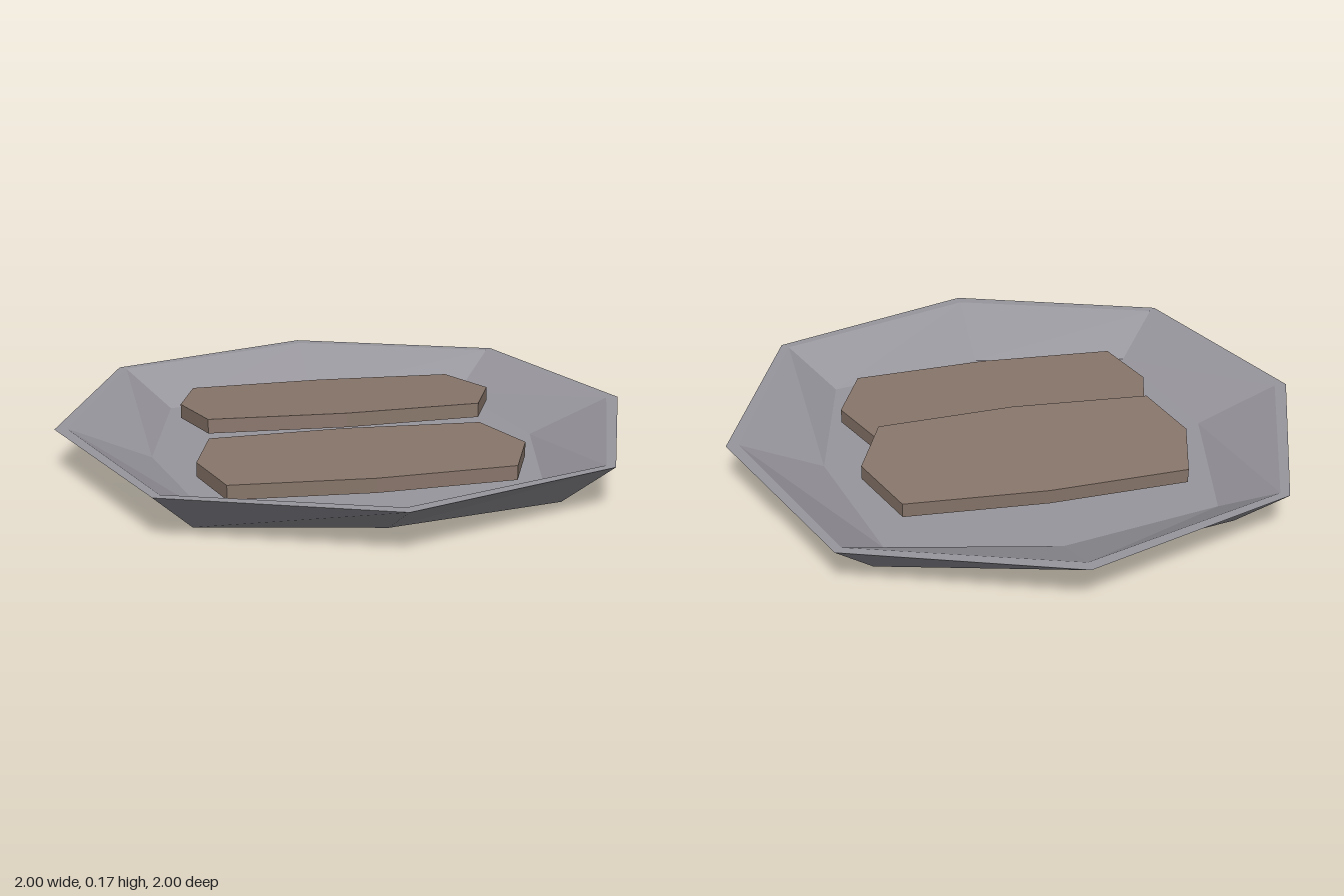
import * as THREE from 'three';

const plateGrey = new THREE.MeshStandardMaterial({ color: 0x98969d, flatShading: true });
plateGrey.name = 'plate grey';
const sliceBrown = new THREE.MeshStandardMaterial({ color: 0x88766b, flatShading: true });
sliceBrown.name = 'slice brown';

// Eight-sided dish skinned through rings of [axis radius, diagonal offset, height]
function dishGeometry(rings) {
  const point = ([r, d, y], k) => {
    const t = (k * Math.PI) / 4;
    const radius = k % 2 ? d * Math.SQRT2 : r;
    return [Math.sin(t) * radius, y, Math.cos(t) * radius];
  };
  const positions = [];
  for (let i = 0; i < rings.length - 1; i++) {
    for (let k = 0; k < 8; k++) {
      const a = point(rings[i], k), b = point(rings[i], k + 1);
      const c = point(rings[i + 1], k + 1), d = point(rings[i + 1], k);
      if (rings[i][0] > 0) positions.push(...a, ...b, ...c);
      if (rings[i + 1][0] > 0) positions.push(...a, ...c, ...d);
    }
  }
  const geometry = new THREE.BufferGeometry();
  geometry.setAttribute('position', new THREE.Float32BufferAttribute(positions, 3));
  geometry.computeVertexNormals();
  return geometry;
}

// Flat slice with a faceted outline, lying on its base
function sliceGeometry() {
  const outline = [
    [-0.48, -0.24], [0, -0.265], [0.48, -0.21], [0.575, 0],
    [0.48, 0.245], [0, 0.268], [-0.48, 0.243], [-0.55, 0],
  ];
  outline[2][1] = -0.232;
  const shape = new THREE.Shape(outline.map(([x, y]) => new THREE.Vector2(x, y)));
  return new THREE.ExtrudeGeometry(shape, { depth: 0.05, bevelEnabled: false }).rotateX(-Math.PI / 2);
}

export function createModel() {
  const model = new THREE.Group();
  model.name = 'plateWithSlices';

  // Plate: underside, outer wall, narrow rim, inner wall, floor
  const plate = new THREE.Mesh(dishGeometry([
    [0, 0, 0],
    [0.72, 0.6, 0],
    [1, 0.732, 0.155],
    [0.957, 0.708, 0.155],
    [0.675, 0.557, 0.035],
    [0, 0, 0.035],
  ]), plateGrey);
  plate.name = 'plate';
  model.add(plate);

  // Two slices, the back one leaning on the front one
  const geometry = sliceGeometry();
  for (const [name, y, z, tilt] of [['frontSlice', 0.05, 0.272, 0], ['backSlice', 0.1, -0.223, -0.058]]) {
    const slice = new THREE.Mesh(geometry, sliceBrown);
    slice.name = name;
    slice.position.set(0, y, z);
    slice.rotation.x = tilt;
    model.add(slice);
  }
  return model;
}
